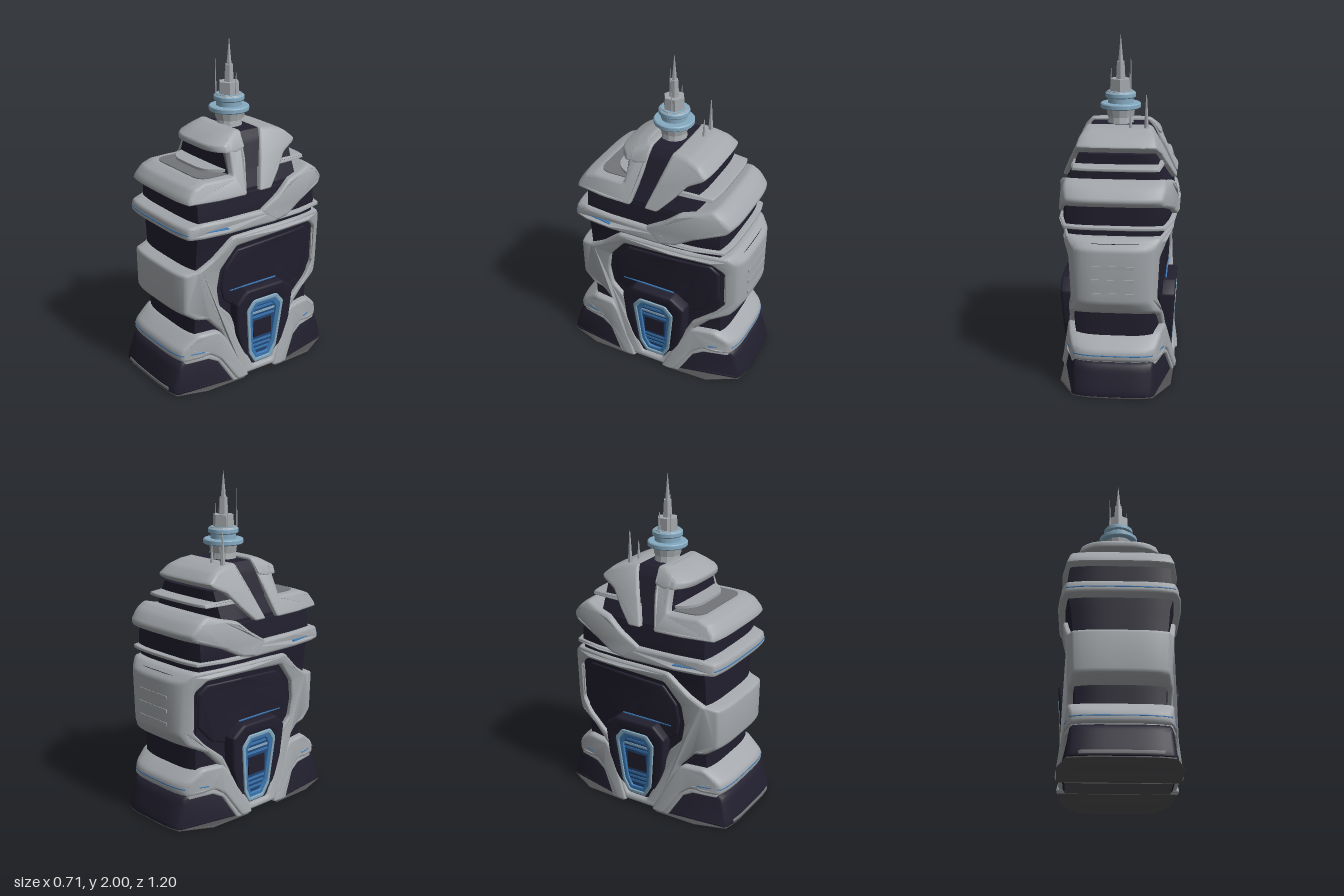
import * as THREE from 'three';
import { toCreasedNormals } from 'three/addons/utils/BufferGeometryUtils.js';

const mat = (name, color) => {
  const m = new THREE.MeshStandardMaterial({ color });
  m.name = name;
  return m;
};

// piecewise-linear lookup
const lookup = (table, t) => {
  if (t <= table[0][0]) return table[0][1];
  for (let i = 1; i < table.length; i++) {
    const [a, va] = table[i - 1], [b, vb] = table[i];
    if (t <= b) return va + (vb - va) * (t - a) / (b - a);
  }
  return table[table.length - 1][1];
};

// half width of the tower by height, and its plan taper by depth
const WIDTH = [[0, 0.345], [0.1, 0.328], [0.2, 0.31], [0.35, 0.29], [0.5, 0.3], [0.75, 0.31], [0.94, 0.33],
  [0.975, 0.36], [1.05, 0.345], [1.18, 0.342], [1.3, 0.287], [1.45, 0.225], [1.51, 0.175]];
const PLAN = [[-0.57, 0.66], [-0.52, 0.79], [-0.45, 0.88], [-0.33, 0.95], [-0.15, 1],
  [0.25, 1], [0.42, 0.955], [0.49, 0.895], [0.55, 0.84]];
const hull = (y, z) => lookup(WIDTH, y) * lookup(PLAN, z);

const BASE_W = [[0, 0.345], [0.2, 0.285]];
const BASE_PLAN = [[-0.6, 0.66], [-0.55, 0.78], [-0.42, 0.95], [0, 1], [0.45, 0.98], [0.55, 0.9], [0.6, 0.8]];
const base = (y, z) => lookup(BASE_W, y) * lookup(BASE_PLAN, z);

// closed path with softened corners
function trace(path, pts, r) {
  const v = pts.map(p => new THREE.Vector2(p[0], p[1]));
  v.forEach((p, i) => {
    const prev = v[(i + v.length - 1) % v.length], next = v[(i + 1) % v.length];
    const cut = q => p.clone().lerp(q, Math.min(0.45, r / p.distanceTo(q)));
    const a = cut(prev), b = cut(next);
    if (i === 0) path.moveTo(a.x, a.y); else path.lineTo(a.x, a.y);
    path.quadraticCurveTo(p.x, p.y, b.x, b.y);
  });
  path.closePath();
  return path;
}

// fit a unit-wide solid to the tower: x is -1..1 on entry
function fit(geo, width, round) {
  const p = geo.attributes.position;
  for (let i = 0; i < p.count; i++) {
    const u = p.getX(i), y = p.getY(i), z = p.getZ(i);
    p.setXYZ(i, u * width(y, z), y, z * (1 - round * Math.pow(Math.abs(u), 4)));
  }
  return toCreasedNormals(geo, 0.65);
}

// side profile of (z, y) points swept across the whole width
function band(pts, { width = hull, hole = null, bevel = 0.016, corner = 0.025, round = 0.05 } = {}) {
  const shape = trace(new THREE.Shape(), pts, corner);
  if (hole) shape.holes.push(trace(new THREE.Path(), hole, corner));
  const half = 0.34;
  const geo = new THREE.ExtrudeGeometry(shape, {
    depth: 2 * (half - bevel), steps: 12, curveSegments: 3, bevelEnabled: true,
    bevelThickness: bevel, bevelSize: bevel, bevelOffset: -bevel, bevelSegments: 3
  });
  geo.translate(0, 0, bevel - half).rotateY(-Math.PI / 2).scale(1 / half, 1, 1);
  return fit(geo, width, round);
}

// subdivided block between two heights and two depths
function block(y0, y1, z0, z1, width) {
  const geo = new THREE.BoxGeometry(2, y1 - y0, z1 - z0, 12, 12, 20);
  geo.translate(0, (y0 + y1) / 2, (z0 + z1) / 2);
  return fit(geo, width, 0.05);
}
const inset = d => (y, z) => hull(y, z) - d;

export function createModel() {
  const grey = mat('armour grey', 0xa3a7ab);
  const shade = mat('terrace grey', 0x737578);
  const under = mat('underside grey', 0x505053);
  const dark = mat('dark cladding', 0x211f2e);
  const blue = mat('glass blue', 0x3b78b4);
  const deep = mat('deep blue', 0x24497a);
  const pale = mat('pale blue', 0x86abc2);

  const group = new THREE.Group();
  const add = (name, geo, material, x = 0, y = 0, z = 0) => {
    const m = new THREE.Mesh(geo, material);
    m.name = name;
    m.position.set(x, y, z);
    group.add(m);
    return m;
  };
  const flip = pts => pts.map(([z, y]) => [-z - 0.005, y]);

  // dark core seen in every recess
  add('core', block(0.05, 1.2, -0.46, 0.435, inset(0.03)), dark);
  add('rearCore', block(0.53, 0.91, -0.53, -0.4, inset(0.036)), dark);
  add('upperCore', block(1.15, 1.365, -0.3, 0.15, inset(0.035)), dark);
  add('crownCore', block(1.3, 1.495, -0.12, 0.1, inset(0.025)), dark);
  add('terraceWindow', block(1.28, 1.43, 0, 0.185, inset(0.045)), dark);

  // splayed feet, their soles and the skirts above them
  const foot = [[0.6, 0.004], [0.595, 0.04], [0.555, 0.17], [0.53, 0.2], [0.3, 0.2], [0.2, 0.12], [0.11, 0.004]];
  const skirt = [[0.545, 0.2], [0.545, 0.265], [0.5, 0.3], [0.43, 0.35], [0.28, 0.345], [0.23, 0.28],
    [0.09, 0.01], [0.18, 0.005], [0.29, 0.17], [0.36, 0.215], [0.45, 0.205]];
  // lower, thinner step tucked beneath the skirt
  const step = [[0.525, 0.18], [0.525, 0.21], [0.36, 0.22], [0.28, 0.18], [0.17, 0.005], [0.21, 0.005], [0.3, 0.15], [0.37, 0.185]];
  for (const [side, f] of [['front', p => p], ['back', flip]]) {
    add(side + 'Foot', band(f(foot), { width: base, round: 0.04 }), dark);
    add(side + 'Sole', band(f([[0.592, 0], [0.592, 0.008], [0.4, 0.008], [0.12, 0.008], [0.12, 0], [0.4, 0]]),
      { width: base, round: 0.04, bevel: 0.002, corner: 0.002 }), under);
    add(side + 'Skirt', band(f(skirt), { width: inset(-0.01) }), grey);
    add(side + 'SkirtStep', band(f(step), { width: inset(0.002), bevel: 0.008, corner: 0.01 }), grey);
    add(side + 'SkirtLine', band(f([[0.547, 0.238], [0.547, 0.244], [0.4, 0.244], [0.4, 0.238]]),
      { width: inset(-0.0105), bevel: 0.001, corner: 0.001 }), blue);
  }
  add('middleSole', new THREE.BoxGeometry(0.6, 0.008, 0.22), under, 0, 0.006, -0.01);
  add('kickPlate', band([[0.6, 0.018], [0.599, 0.038], [0.58, 0.038], [0.58, 0.018]],
    { width: () => 0.22, round: 0.016, bevel: 0.002, corner: 0.002 }), shade);

  // main shell with a large opening on each flank
  add('mainShell', band(
    [[0.515, 0.5], [0.515, 0.745], [0.43, 0.76], [0.33, 0.82], [0.2, 0.935], [0, 0.94], [-0.25, 0.94],
      [-0.5, 0.935], [-0.56, 0.88], [-0.56, 0.57], [-0.52, 0.5], [-0.4, 0.44], [-0.3, 0.34], [-0.17, 0.02],
      [0.14, 0.02], [0.26, 0.33], [0.36, 0.435], [0.44, 0.45]],
    { corner: 0.018, hole: [[0.3, 0.62], [0.28, 0.74], [0.17, 0.87], [-0.15, 0.885], [-0.42, 0.88], [-0.49, 0.82], [-0.49, 0.58],
      [-0.42, 0.5], [-0.28, 0.39], [-0.21, 0.25], [-0.1, 0.06], [0.05, 0.06], [0.13, 0.25], [0.19, 0.42], [0.28, 0.51]] }), grey);

  // raised inner frame of the flank panel
  add('flankPanel', band([[0.26, 0.62], [0.24, 0.73], [0.15, 0.835], [-0.15, 0.85], [-0.4, 0.85], [-0.45, 0.8], [-0.45, 0.6],
    [-0.36, 0.5], [-0.1, 0.42], [0.1, 0.42], [0.24, 0.53]], { width: inset(0.018), bevel: 0.01, corner: 0.01 }), dark);

  // deck bands
  add('lowerDeck', band(
    [[0.515, 0.975], [0.51, 1.045], [0.42, 1.06], [0.25, 1.06], [0, 1.06], [-0.13, 1.05], [-0.11, 0.975], [0, 0.975],
      [0.25, 0.975], [0.42, 0.975]], { corner: 0.02 }), grey);
  add('rearHump', band(
    [[0.01, 1.055], [-0.12, 1.13], [-0.21, 1.2], [-0.32, 1.225], [-0.41, 1.25], [-0.47, 1.215], [-0.525, 1.15],
      [-0.5, 1.115], [-0.32, 1.055], [-0.2, 0.995], [-0.09, 0.977]], { corner: 0.02, width: inset(-0.001) }), grey);
  add('lowerDeckLine', band([[0.517, 1.003], [0.517, 1.009], [0.25, 1.009], [0.25, 1.003]],
    { width: inset(0.003), bevel: 0.001, corner: 0.001 }), blue);
  add('rearLip', band([[-0.05, 0.975], [-0.05, 0.995], [-0.3, 0.995], [-0.495, 0.995], [-0.495, 0.975], [-0.3, 0.975]],
    { bevel: 0.006, corner: 0.006, width: inset(0.01) }), grey);
  add('upperDeck', band(
    [[0.5, 1.175], [0.49, 1.21], [0.45, 1.26], [0.38, 1.285], [0.27, 1.285], [0.175, 1.285], [0.165, 1.4], [0.165, 1.47],
      [0.085, 1.51], [0.04, 1.51], [0.065, 1.35], [0.11, 1.175], [0.3, 1.175]], { corner: 0.015 }), grey);
  // overhanging brow, swept back towards its ends
  add('frontBrow', band([[0.06, 1.505], [0.1, 1.512], [0.17, 1.488], [0.255, 1.445], [0.25, 1.408], [0.15, 1.405], [0.07, 1.42]],
    { corner: 0.012, round: 0.3, bevel: 0.012 }), grey);
  add('rearRoof', band(
    [[-0.1, 1.5], [-0.2, 1.49], [-0.27, 1.465], [-0.335, 1.41], [-0.315, 1.39], [-0.23, 1.35], [-0.16, 1.27],
      [-0.07, 1.18], [0.015, 1.18], [-0.04, 1.33]], { corner: 0.015 }), grey);
  add('rearLedge', band([[-0.1, 1.285], [-0.1, 1.31], [-0.25, 1.31], [-0.39, 1.305], [-0.39, 1.285], [-0.25, 1.285]],
    { bevel: 0.006, corner: 0.006, width: inset(0.02) }), grey);

  // sunken terrace floor and the curved ledge over it
  const floorPlate = (name, m, pts, y, h) => {
    const geo = new THREE.ExtrudeGeometry(trace(new THREE.Shape(), pts, 0.08), { depth: h, bevelEnabled: false, curveSegments: 6 });
    add(name, geo.rotateX(Math.PI / 2), m, 0, y, 0);
  };
  floorPlate('terraceFloor', shade, [[-0.24, 0.05], [-0.24, 0.36], [0.24, 0.36], [0.24, 0.05]], 1.29, 0.009);
  floorPlate('terraceLedge', grey, [[-0.24, 0.08], [-0.225, 0.2], [-0.14, 0.285], [0.14, 0.285], [0.225, 0.2], [0.24, 0.08]], 1.312, 0.016);

  // portal with glazed niche on both flanks
  const portalWidth = y => 0.312 + 0.06 * y;
  const niche = [[0.1, 0.44], [0.055, 0.5], [-0.12, 0.5], [-0.17, 0.44], [-0.135, 0.14], [-0.095, 0.065],
    [0.025, 0.065], [0.07, 0.14]];
  const scaled = k => niche.map(([z, y]) => [(z + 0.033) * k - 0.033, (y - 0.28) * (1 - (1 - k) * 0.65) + 0.28]);
  const offset = d => y => portalWidth(y) + d;
  add('portal', band(
    [[0.1, 0.575], [-0.16, 0.575], [-0.245, 0.51], [-0.23, 0.3], [-0.14, 0.03], [-0.1, 0.005], [0.04, 0.005],
      [0.09, 0.05], [0.16, 0.3], [0.175, 0.5]], { width: portalWidth, hole: scaled(0.97), round: 0, corner: 0.012 }), dark);
  add('nicheFrame', band(niche, { width: offset(0.004), hole: scaled(0.84), round: 0, bevel: 0.003, corner: 0.01 }), pale);
  add('nicheLiner', band(scaled(0.9), { width: offset(-0.004), hole: scaled(0.66), round: 0, bevel: 0.004, corner: 0.01 }), blue);
  add('nicheGlass', band(scaled(0.8), { width: offset(-0.018), round: 0, bevel: 0.003, corner: 0.01 }), deep);

  for (const s of [-1, 1]) {
    const plate = (name, m, x, y, z, h, d) => add(name, new THREE.BoxGeometry(0.008, h, d), m, s * x, y, z);
    // niche bars and door
    for (const [y, d, m] of [[0.432, 0.17, blue], [0.402, 0.17, pale], [0.372, 0.17, blue],
      [0.205, 0.14, blue], [0.175, 0.13, blue], [0.145, 0.12, blue]])
      plate('nicheBar', m, portalWidth(y) - 0.018, y, -0.033, 0.014, d);
    plate('nicheDoor', dark, portalWidth(0.29) - 0.016, 0.29, -0.033, 0.11, 0.13);
    // fine lines on the flank
    plate('flankLine', blue, hull(0.582, 0) - 0.0195, 0.582, 0.02, 0.006, 0.34);
    plate('flankLight', grey, hull(0.7, -0.468) - 0.024, 0.7, -0.468, 0.2, 0.012);
  }

  // thin blue line under the front of the shell
  add('frontLine', new THREE.BoxGeometry(0.36, 0.006, 0.008), blue, 0, 0.505, 0.5);
  // shallow ribs on the back
  for (const y of [0.62, 0.7, 0.78])
    add('rearRib', new THREE.BoxGeometry(0.24, 0.02, 0.012), grey, 0, y, -0.557);

  // spire
  const cyl = (name, m, y0, y1, r0, r1, n = 24, x = 0, z = 0) =>
    add(name, toCreasedNormals(new THREE.CylinderGeometry(r1, r0, y1 - y0, n), 0.5), m, x, (y0 + y1) / 2, z);
  const sz = -0.01;
  cyl('spireFoot', grey, 1.46, 1.53, 0.085, 0.07, 12, 0, sz);
  cyl('spireCollar', grey, 1.53, 1.58, 0.078, 0.085, 12, 0, sz);
  cyl('spireNeck', pale, 1.58, 1.68, 0.075, 0.075, 24, 0, sz);
  for (const [y, r] of [[1.595, 0.118], [1.657, 0.09]]) {
    const edge = [[0.05, -0.016], [r - 0.006, -0.016], [r, -0.01], [r, 0.01], [r - 0.006, 0.016], [0.05, 0.016]];
    add('spireRing', toCreasedNormals(new THREE.LatheGeometry(edge.map(p => new THREE.Vector2(...p)), 36), 0.5), pale, 0, y, sz);
  }
  cyl('spireCap', grey, 1.67, 1.678, 0.086, 0.08, 8, 0, sz);
  cyl('spireDrum', grey, 1.67, 1.75, 0.065, 0.062, 6, 0, sz);
  cyl('spireMast', grey, 1.75, 1.85, 0.03, 0.024, 6, 0, sz);
  cyl('spireTip', grey, 1.85, 2, 0.016, 0.001, 6, 0, sz);

  // antennas
  for (const [x, z, y0, y1, r] of [[-0.16, -0.165, 1.45, 1.68, 0.018], [-0.07, -0.165, 1.45, 1.6, 0.014],
    [-0.055, 0.045, 1.68, 1.9, 0.005], [0.055, -0.02, 1.68, 1.81, 0.007], [-0.055, -0.03, 1.68, 1.8, 0.006]])
    cyl('antenna', grey, y0, y1, r, r * 0.15, 6, x, z);

  return group;
}
